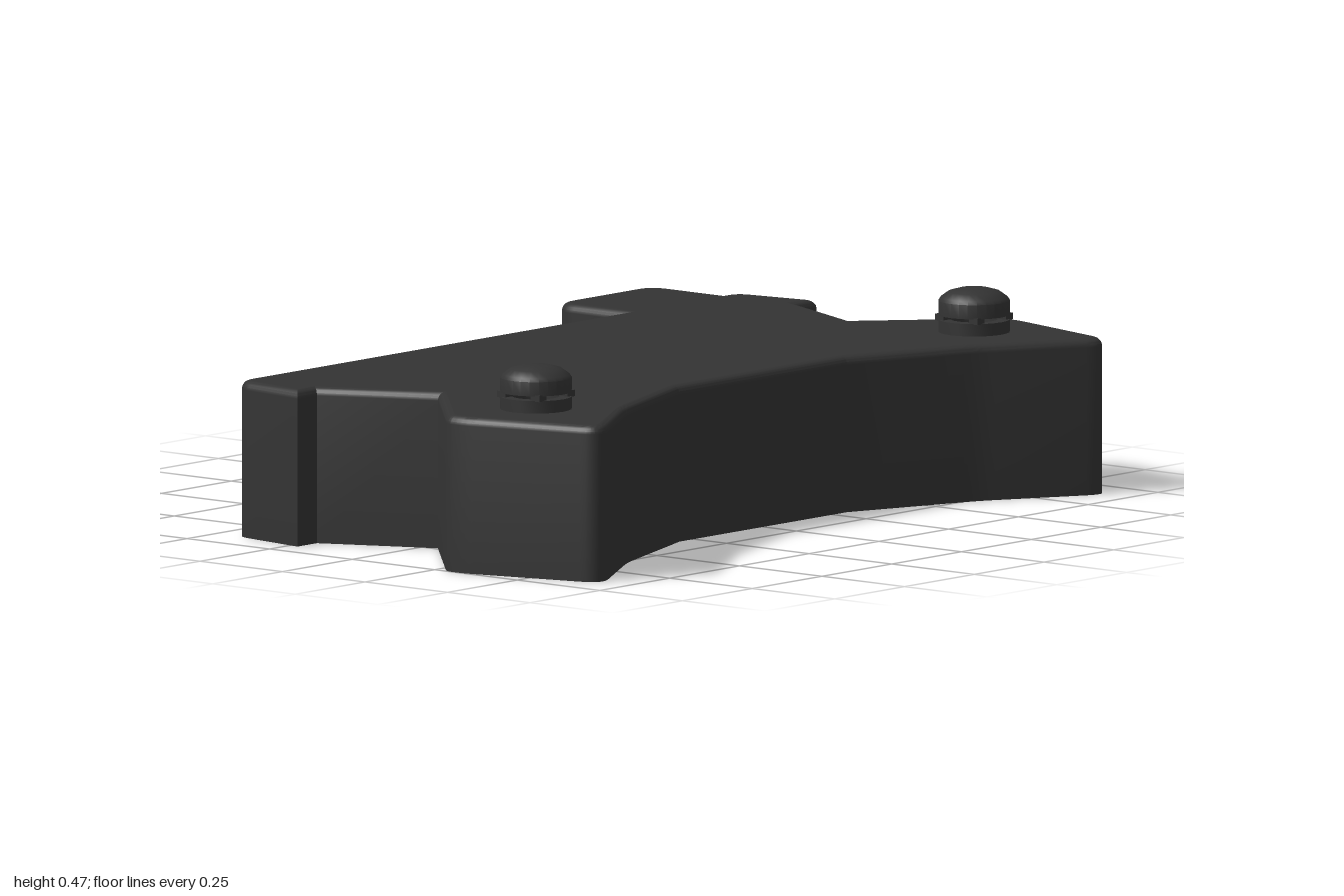
import * as THREE from 'three';
import { toCreasedNormals } from 'three/addons/utils/BufferGeometryUtils.js';

const HEIGHT = 0.365, BEVEL = 0.02, BEVEL_STEPS = 5;
const NOTCH = { left: 0.065, right: -0.05, top: 0.2, depth: 0.24, back: -0.44 };
const KNOB = { x: 0.785, z: 0.375 };

// Plan outline as [x, z, corner cut length], running front, +x side, back, -x side
const front = [[0.3, 0.4, 0], [0.63, 0.52, 0.04], [0.91, 0.685, 0.06], [1, 0.34, 0.03],
  [1, 0.285, 0.02], [0.74, 0.04, 0], [0.86, -0.225, 0], [0.93, -0.225, 0], [0.897, -0.44, 0.045]];
const tail = [[0.85, -0.44, 0], [0.85, -0.66, 0.06], [0.5, -0.66, 0.06], [0.5, -0.44, 0],
  [NOTCH.left, NOTCH.back, 0], [NOTCH.right, NOTCH.back, 0]];
const corners = [...front, ...tail, ...front.map(([x, z, c]) => [-x, z, c]).reverse()];

function roundedOutline(list) {
  const out = [];
  list.forEach(([x, z, cut], i) => {
    const p = new THREE.Vector2(x, z);
    if (!cut) { out.push(p); return; }
    const toward = (q) => p.clone().add(new THREE.Vector2(q[0], q[1]).sub(p).setLength(cut));
    const a = toward(list[(i + list.length - 1) % list.length]);
    const b = toward(list[(i + 1) % list.length]);
    out.push(...new THREE.QuadraticBezierCurve(a, p, b).getPoints(8));
  });
  return out;
}

// Mitred inward offset of a closed outline
function inset(points, d) {
  const n = points.length;
  const normal = (a, b) => new THREE.Vector2(a.y - b.y, b.x - a.x).normalize();
  return points.map((p, i) => {
    const n1 = normal(points[(i + n - 1) % n], p);
    const n2 = normal(p, points[(i + 1) % n]);
    const m = n1.clone().add(n2);
    return p.clone().addScaledVector(m, -d / (1 + n1.dot(n2)));
  });
}

// Side walls with rounded top edge; the wall piece over the notch starts higher
function wallGeometry(outline) {
  const rings = [{ y: 0, pts: outline }];
  for (let k = 0; k <= BEVEL_STEPS; k++) {
    const a = (k / BEVEL_STEPS) * Math.PI / 2;
    rings.push({
      y: HEIGHT - BEVEL + BEVEL * Math.sin(a),
      pts: inset(outline, BEVEL * (1 - Math.cos(a))),
    });
  }
  const pos = [];
  for (let r = 0; r < rings.length - 1; r++) {
    const lo = rings[r], hi = rings[r + 1];
    outline.forEach((p, i) => {
      const j = (i + 1) % outline.length;
      const overNotch = r === 0 && p.x === NOTCH.left && p.y === NOTCH.back;
      const y0 = overNotch ? NOTCH.top : lo.y;
      const a = [lo.pts[i].x, y0, lo.pts[i].y], b = [lo.pts[j].x, y0, lo.pts[j].y];
      const c = [hi.pts[j].x, hi.y, hi.pts[j].y], d = [hi.pts[i].x, hi.y, hi.pts[i].y];
      pos.push(...a, ...b, ...c, ...a, ...c, ...d);
    });
  }
  const g = new THREE.BufferGeometry();
  g.setAttribute('position', new THREE.Float32BufferAttribute(pos, 3));
  return toCreasedNormals(g, 0.36);
}

// Top plate with a hole under each knob
function topGeometry(outline) {
  const shape = new THREE.Shape(inset(outline, BEVEL).map((p) => new THREE.Vector2(p.x, -p.y)));
  for (const s of [-1, 1]) {
    shape.holes.push(new THREE.Path().absarc(s * KNOB.x, -KNOB.z, 0.055, 0, Math.PI * 2, true));
  }
  return new THREE.ShapeGeometry(shape, 16).rotateX(-Math.PI / 2).translate(0, HEIGHT, 0);
}

function lathe(profile) {
  const g = new THREE.LatheGeometry(profile.map(([r, y]) => new THREE.Vector2(r, y)), 24);
  return toCreasedNormals(g, 0.6);
}

export function createModel() {
  const model = new THREE.Group();
  const plastic = new THREE.MeshStandardMaterial({ color: 0x333333 });
  plastic.name = 'dark grey plastic';
  plastic.side = THREE.DoubleSide;

  const add = (parent, name, geometry, x = 0, y = 0, z = 0) => {
    const mesh = new THREE.Mesh(geometry, plastic);
    mesh.name = name;
    mesh.position.set(x, y, z);
    parent.add(mesh);
  };

  // Hollow housing, open underneath
  const housing = new THREE.Group();
  housing.name = 'housing';
  model.add(housing);
  const outline = roundedOutline(corners);
  add(housing, 'sideWalls', wallGeometry(outline));
  add(housing, 'topPlate', topGeometry(outline));

  // Pocket behind the notch in the back wall
  const t = 0.006, w = NOTCH.left - NOTCH.right, cx = (NOTCH.left + NOTCH.right) / 2;
  const cz = NOTCH.back + NOTCH.depth / 2;
  for (const s of [-1, 1]) {
    add(housing, 'pocketSide', new THREE.BoxGeometry(t, NOTCH.top, NOTCH.depth),
      cx + s * (w + t) / 2, NOTCH.top / 2, cz);
  }
  add(housing, 'pocketRoof', new THREE.BoxGeometry(w, t, NOTCH.depth), cx, NOTCH.top + t / 2, cz);
  add(housing, 'pocketBack', new THREE.BoxGeometry(w, NOTCH.top, t),
    cx, NOTCH.top / 2, NOTCH.back + NOTCH.depth);

  // Knobs: a base ring, four small posts and a domed cap above a see-through gap
  const ring = lathe([[0.055, 0.36], [0.083, 0.36], [0.083, 0.394], [0.055, 0.394], [0.055, 0.36]]);
  const cap = lathe([[0, 0.405], [0.083, 0.405], [0.083, 0.438], [0.078, 0.446],
    [0.06, 0.459], [0.035, 0.466], [0, 0.467]]);
  const post = new THREE.BoxGeometry(0.026, 0.015, 0.026);
  for (const side of [-1, 1]) {
    const knob = new THREE.Group();
    knob.name = side > 0 ? 'leftKnob' : 'rightKnob';
    knob.position.set(side * KNOB.x, 0, KNOB.z);
    add(knob, 'knobBase', ring);
    add(knob, 'knobCap', cap);
    for (const sx of [-1, 1]) {
      for (const sz of [-1, 1]) add(knob, 'knobPost', post, sx * 0.051, 0.4, sz * 0.051);
    }
    model.add(knob);
  }
  return model;
}
